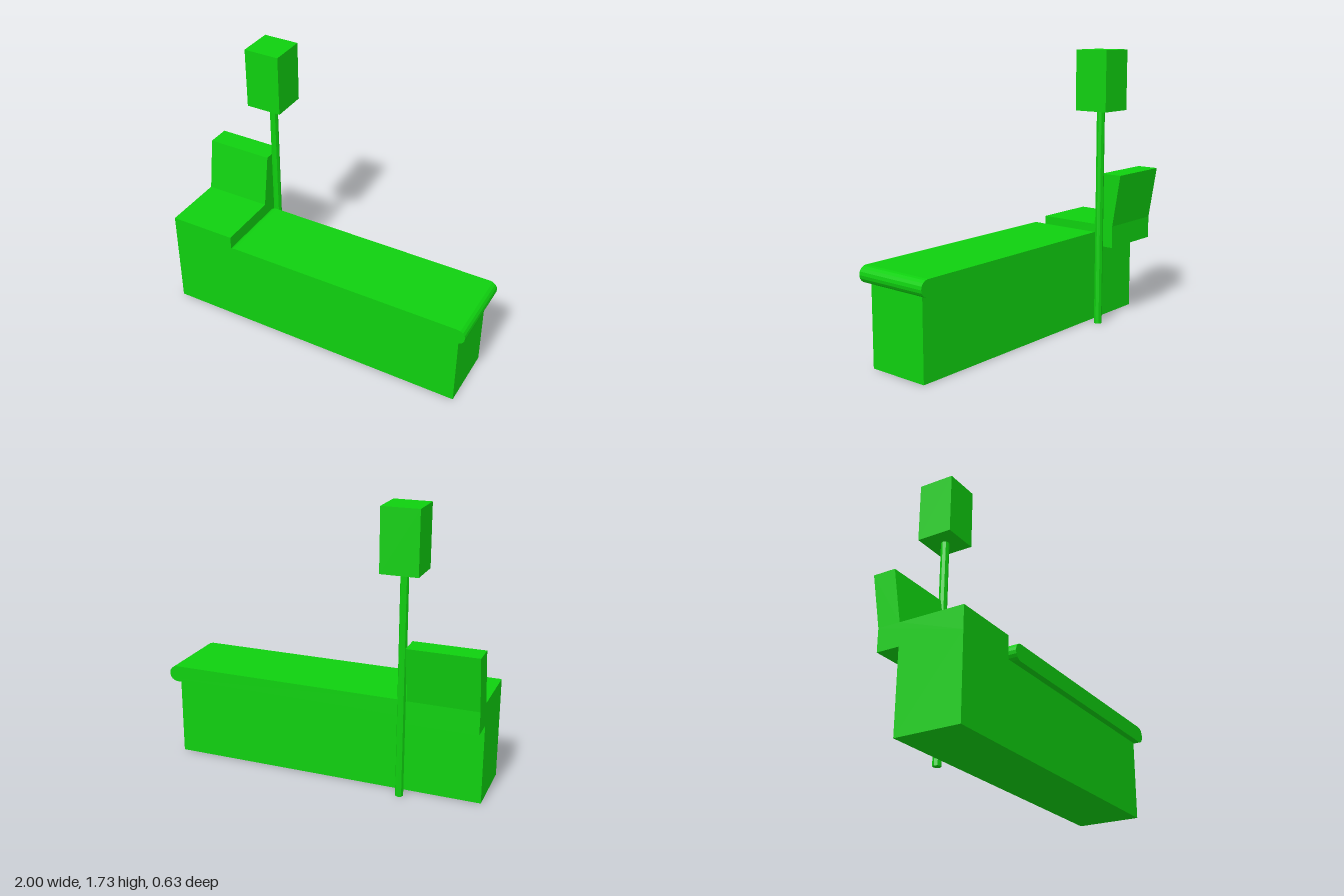
import * as THREE from 'three';

export function createModel() {
  const group = new THREE.Group();
  const material = new THREE.MeshStandardMaterial({ color: 0x0fd00f, flatShading: true });

  const add = (name, geometry) => {
    const mesh = new THREE.Mesh(geometry, material);
    mesh.name = name;
    group.add(mesh);
    return mesh;
  };

  // Box given by its lowest and highest corners
  const box = (name, [x0, y0, z0], [x1, y1, z1]) =>
    add(name, new THREE.BoxGeometry(x1 - x0, y1 - y0, z1 - z0))
      .position.set((x0 + x1) / 2, (y0 + y1) / 2, (z0 + z1) / 2);

  // Long base under the counter and the seat
  box('base', [-1, 0, -0.12], [0.95, 0.49, 0.275]);

  // Seat and leaning backrest: one side profile (z, y) extruded along x
  const seat = new THREE.Shape([
    [0.275, 0.49], [0.275, 0.628], [-0.122, 0.628], [-0.175, 0.957],
    [-0.315, 0.957], [-0.26, 0.628], [-0.26, 0.49],
  ].map(([z, y]) => new THREE.Vector2(z, y)));
  const seatGeometry = new THREE.ExtrudeGeometry(seat, { depth: 0.42, bevelEnabled: false });
  seatGeometry.rotateY(-Math.PI / 2);
  add('seat', seatGeometry).position.x = -0.58;

  // Counter top with half-round ends
  const radius = 0.05;
  const top = new THREE.Shape();
  top.absarc(0.95, 0.54, radius, -Math.PI / 2, Math.PI / 2, false);
  top.absarc(-0.522, 0.54, radius, Math.PI / 2, Math.PI * 1.5, false);
  add('counterTop', new THREE.ExtrudeGeometry(top, {
    depth: 0.48, bevelEnabled: false, curveSegments: 4,
  })).position.z = -0.165;

  // Pole standing behind the counter, carrying a box lamp
  add('pole', new THREE.CylinderGeometry(0.025, 0.025, 1.36, 8))
    .position.set(-0.53, 0.68, -0.196);
  box('lampBox', [-0.642, 1.36, -0.308], [-0.42, 1.73, -0.086]);

  return group;
}
